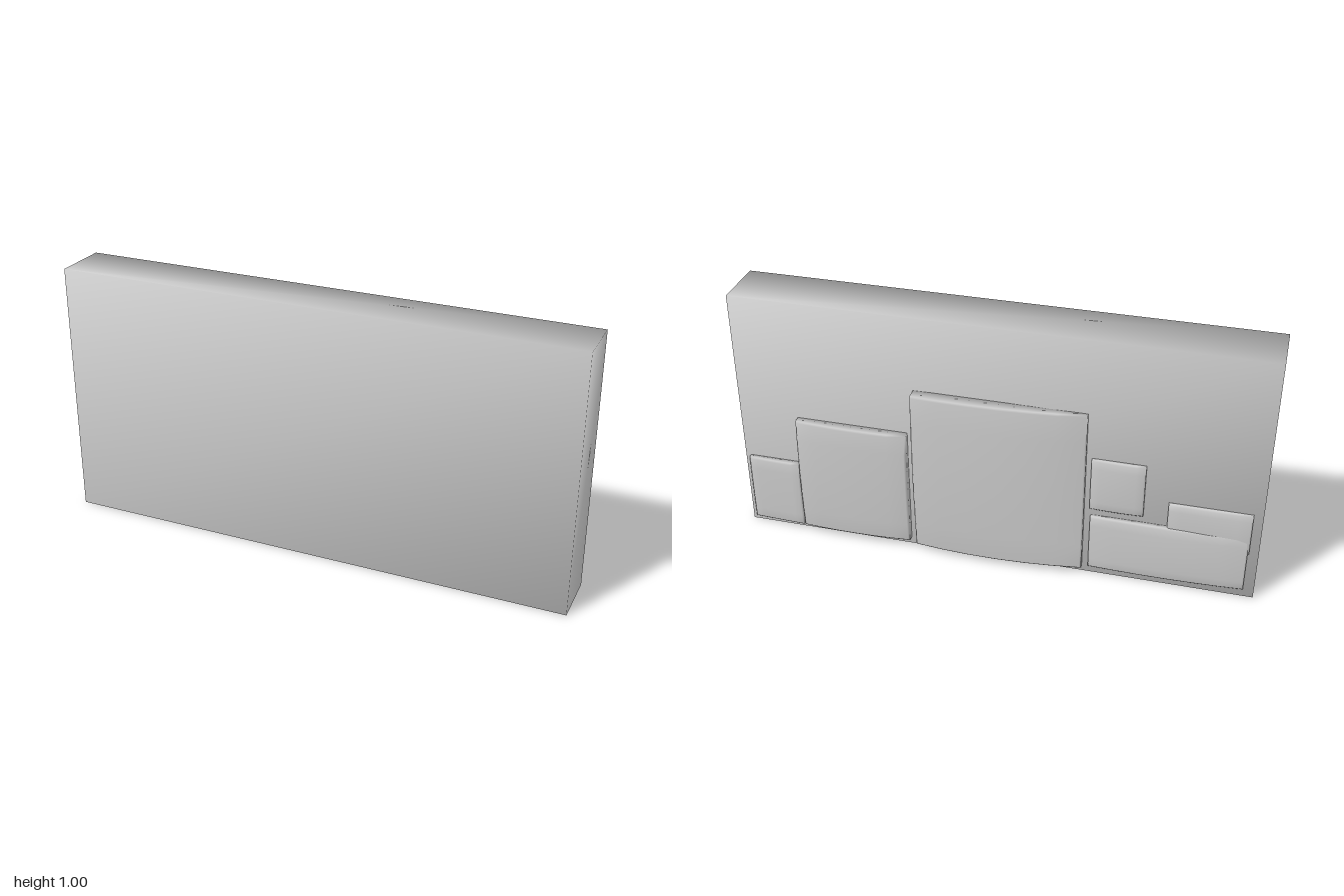
import * as THREE from 'three';
import { mergeVertices } from 'three/addons/utils/BufferGeometryUtils.js';

const material = new THREE.MeshStandardMaterial({ color: 0xcccccc });
const BACK = -0.075; // rear face of the slab

// Weld the sides of a geometry so its shading is smooth across the edges
function weld(geometry) {
  geometry.deleteAttribute('uv');
  geometry.deleteAttribute('normal');
  const welded = mergeVertices(geometry, 1e-5);
  welded.computeVertexNormals();
  return welded;
}

// Quadratic curve through a, b, c at t = 0, 0.5, 1
function through([a, b, c], t) {
  return a * (1 - t) * (1 - 2 * t) + b * 4 * t * (1 - t) + c * t * (2 * t - 1);
}

// Bulging cushion on the rear face. rows: depths at top, middle, bottom,
// each given from low x to high x.
function panel(name, x0, x1, y0, y1, rows) {
  const bevel = 0.006;
  const geometry = new THREE.BoxGeometry(1, 1, 1, 6, 6, 2);
  const p = geometry.attributes.position;
  for (let i = 0; i < p.count; i++) {
    const u = p.getX(i) + 0.5;
    const v = p.getY(i) + 0.5;
    const out = 0.5 - p.getZ(i);
    const depth = through(rows.map((row) => through(row, u)), 1 - v);
    const rim = Math.max(Math.abs(u - 0.5), Math.abs(v - 0.5)) > 0.49;
    let x = THREE.MathUtils.lerp(x0, x1, u);
    let y = THREE.MathUtils.lerp(y0, y1, v);
    let d = -0.005; // base sunk slightly into the slab
    if (out > 0.9) {
      d = depth;
      if (rim) {
        // chamfer the outer edge
        if (u < 0.01 || u > 0.99) x += u < 0.5 ? bevel : -bevel;
        if (v < 0.01 || v > 0.99) y += v < 0.5 ? bevel : -bevel;
      }
    } else if (out > 0.1) {
      d = Math.max(depth - bevel, depth * 0.5);
    }
    p.setXYZ(i, x, y, BACK - d);
  }
  const mesh = new THREE.Mesh(weld(geometry), material);
  mesh.name = name;
  return mesh;
}

export function createModel() {
  const model = new THREE.Group();
  model.name = 'panelledSlab';

  // Main slab
  const box = new THREE.BoxGeometry(2, 1, 0.215);
  box.translate(0, 0.5, BACK + 0.1075);
  const slab = new THREE.Mesh(weld(box), material);
  slab.name = 'slab';
  model.add(slab);

  // Raised panels on the rear
  model.add(
    panel('largeCentrePanel', -0.35, 0.3, 0.025, 0.705, [
      [0.02, 0.052, 0.05],
      [0.022, 0.062, 0.056],
      [0.025, 0.055, 0.038],
    ]),
    panel('mediumPanel', 0.33, 0.765, 0.03, 0.515, [
      [0.035, 0.043, 0.032],
      [0.038, 0.048, 0.042],
      [0.03, 0.042, 0.034],
    ]),
    panel('outerPanel', 0.77, 0.98, 0.025, 0.31, [
      [0.026, 0.026, 0.02],
      [0.03, 0.028, 0.022],
      [0.028, 0.025, 0.02],
    ]),
    panel('smallUpperPanel', -0.57, -0.37, 0.3, 0.52, [
      [0.014, 0.016, 0.01],
      [0.016, 0.02, 0.014],
      [0.013, 0.016, 0.012],
    ]),
    panel('wideLowerPanel', -0.96, -0.375, 0.035, 0.27, [
      [0.013, 0.023, 0.018],
      [0.016, 0.028, 0.02],
      [0.012, 0.024, 0.018],
    ]),
    panel('smallOuterPanel', -0.965, -0.66, 0.2, 0.375, [
      [0.009, 0.013, 0.012],
      [0.014, 0.017, 0.015],
      [0.01, 0.012, 0.012],
    ]),
  );
  return model;
}
